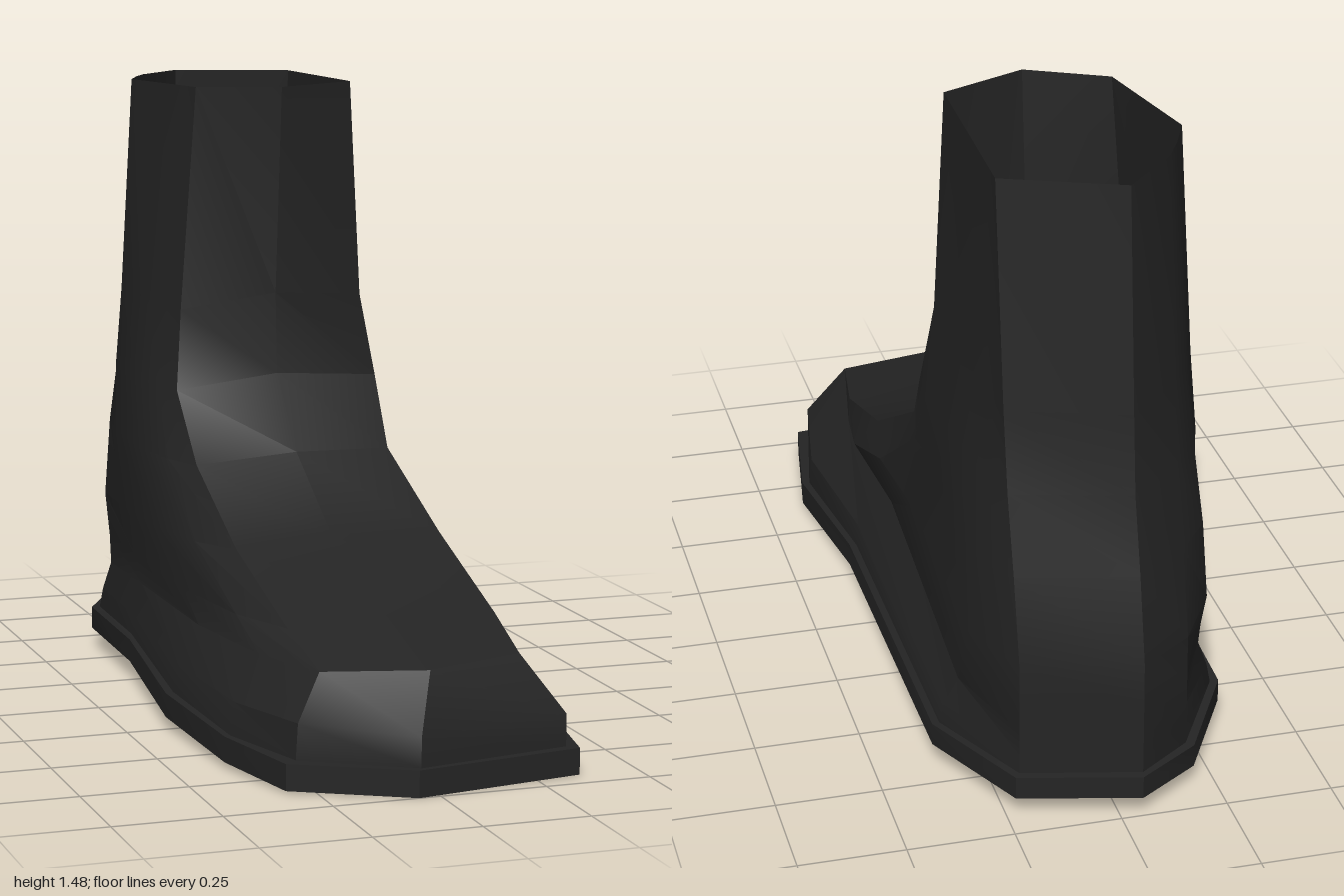
import * as THREE from 'three';
import { toCreasedNormals } from 'three/addons/utils/BufferGeometryUtils.js';

const black = new THREE.MeshStandardMaterial({ color: 0x242424, side: THREE.DoubleSide });
black.name = 'black rubber';
const red = new THREE.MeshStandardMaterial({ color: 0x843a33, side: THREE.DoubleSide });
red.name = 'red sole';

function geometryFrom(triangles, crease) {
  const g = new THREE.BufferGeometry();
  g.setAttribute('position', new THREE.Float32BufferAttribute(triangles.flat(), 3));
  return toCreasedNormals(g, crease);
}

// Skin closed rings of points, listed from top to bottom
function loft(rings, crease) {
  const tris = [];
  for (let k = 0; k < rings.length - 1; k++) {
    const n = rings[k].length;
    for (let i = 0; i < n; i++) {
      const j = (i + 1) % n;
      const a = rings[k][i], b = rings[k][j], c = rings[k + 1][j], d = rings[k + 1][i];
      tris.push(a, d, c, a, c, b);
    }
  }
  return geometryFrom(tris, crease);
}

const mix = (a, b, t) => a + (b - a) * t;

// The sole rises from the toe to the heel
const rise = (z) => Math.min(1, Math.max(0, (1 - z) / 1.2));
const soleTop = (z) => mix(0.062, 0.102, rise(z));
const soleBottom = (z) => mix(0, 0.047, rise(z));

// Ridges down the front: left, centre, right
const front = [
  [[-0.19, 1.475, -0.19], [0, 1.477, -0.10], [0.21, 1.48, -0.20]],
  [[-0.225, 0.93, -0.21], [0, 0.97, -0.15], [0.24, 0.95, -0.21]],
  [[-0.245, 0.735, -0.18], [0, 0.772, -0.14], [0.27, 0.75, -0.18]],
  [[-0.235, 0.57, -0.05], [0, 0.60, 0.01], [0.25, 0.59, -0.03]],
  [[-0.23, 0.42, 0.25], [0, 0.445, 0.27], [0.28, 0.43, 0.25]],
  [[-0.22, 0.305, 0.60], [0, 0.33, 0.65], [0.275, 0.312, 0.62]],
  [[-0.22, 0.255, 0.82], [0, 0.267, 0.93], [0.235, 0.275, 0.87]],
  [[-0.28, 0.15, 0.85], [-0.04, 0.13, 0.985], [0.33, 0.14, 0.92]],
  [[-0.285, 0.062, 0.85], [-0.04, 0.062, 0.985], [0.33, 0.062, 0.92]],
];

// Back line: height, z, corner set-in, amount of side bulge
const back = [
  [1.475, -0.81, 0.11, 0],
  [0.95, -0.86, 0.09, 0.1],
  [0.76, -0.88, 0.075, 0.25],
  [0.58, -0.93, 0.07, 0.45],
  [0.38, -0.975, 0.065, 0.62],
  [0.28, -0.977, 0.065, 0.66],
  [0.21, -0.978, 0.065, 0.72],
  [0.15, -0.978, 0.065, 0.9],
  [0.102, -0.978, 0.065, 1],
];

// Side columns: position from front to back, bulge at the rim, bulge at the base
const rightSide = [[0.16, 0, 0.075], [0.37, 0, 0.055], [0.86, 0, 0.11]];
const leftSide = [[0.13, 0.014, 0.093], [0.35, 0.038, 0.135], [0.67, 0.073, 0.11], [0.86, 0.035, 0.12]];

function sidePoints(a, b, columns, amount, sign) {
  return columns.map(([t, top, base]) => [
    mix(a[0], b[0], t) + sign * mix(top, base, amount),
    mix(a[1], b[1], t),
    mix(a[2], b[2], t),
  ]);
}

function upperRing(k) {
  const [L, C, R] = front[k];
  const [y, z, inset, amount] = back[k];
  const BR = [0.217, y, z + inset];
  const BC = [-0.055, y, z];
  const BL = [-0.185, y, z + inset + 0.03];
  const ring = [
    C, R, ...sidePoints(R, BR, rightSide, amount, 1), BR, BC,
    BL, ...sidePoints(L, BL, leftSide, amount, -1).reverse(), L,
  ];
  // The lowest ring sits on the sole
  return k === front.length - 1 ? ring.map(([x, , pz]) => [x, soleTop(pz), pz]) : ring;
}

// Sole outline as x, z
const outline = [
  [-0.05, 1], [0.355, 0.94], [0.405, 0.63], [0.36, 0.25], [0.36, -0.66], [0.23, -0.93], [-0.05, -1],
  [-0.2, -0.9], [-0.34, -0.64], [-0.35, -0.25], [-0.405, 0.25], [-0.38, 0.63], [-0.315, 0.87],
];

export function createModel() {
  const group = new THREE.Group();
  group.name = 'boot';
  const add = (name, geometry, material) => {
    const mesh = new THREE.Mesh(geometry, material);
    mesh.name = name;
    group.add(mesh);
  };

  // Shaft, instep and toe
  const rings = front.map((_, k) => upperRing(k));
  add('upper', loft(rings, 0.5), black);

  // Ledge and edge of the sole
  const top = outline.map(([x, z]) => [x, soleTop(z), z]);
  const bottom = outline.map(([x, z]) => [x, soleBottom(z), z]);
  add('soleEdge', loft([rings[rings.length - 1], top, bottom], 0.5), black);

  // Underside, also seen through the open shaft
  const centre = [0, soleBottom(-0.2), -0.2];
  const tris = bottom.flatMap((p, i) => [centre, bottom[(i + 1) % bottom.length], p]);
  add('soleBottom', geometryFrom(tris, 0.5), red);

  return group;
}
